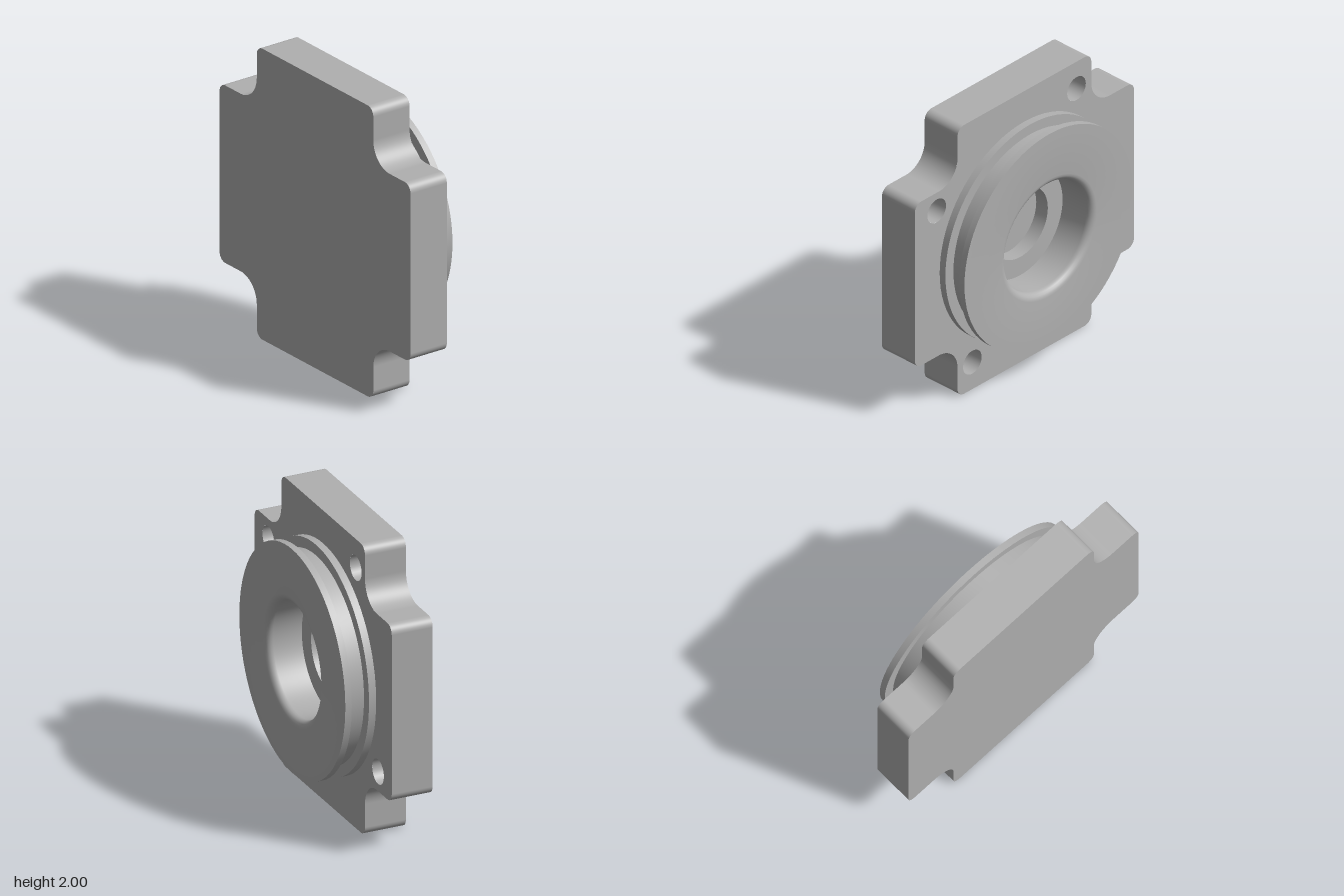
import * as THREE from 'three';
import { toCreasedNormals } from 'three/addons/utils/BufferGeometryUtils.js';

const FRONT = 0.25, BACK = -0.035;   // plate faces along z
const ARM = 0.61, CORNER = 0.06, INNER = 0.17;
const FLANGE_R = 0.773, HOLE_R = 0.085;
// bolt holes as seen from behind: one spot turned in quarter steps
const HOLES = [[-0.8, 0.475], [0.475, 0.8], [0.8, -0.475], [-0.475, -0.8]];

// Cross-shaped outline with rounded outer and inner corners, counter-clockwise
function crossShape() {
  const s = new THREE.Shape(), H = Math.PI / 2;
  for (let i = 0; i < 4; i++) {
    const a = i * H, c = Math.round(Math.cos(a)), n = Math.round(Math.sin(a));
    const arc = (x, y, r, from, to, cw) =>
      s.absarc(x * c - y * n, x * n + y * c, r, a + from, a + to, cw);
    arc(1 - CORNER, -ARM + CORNER, CORNER, -H, 0, false);
    arc(1 - CORNER, ARM - CORNER, CORNER, 0, H, false);
    arc(ARM + INNER, ARM + INNER, INNER, 3 * H, 2 * H, true);
  }
  return s;
}

// Wall along a closed outline
function wallGeometry(points) {
  const pos = [], idx = [], n = points.length;
  points.forEach((p, i) => {
    pos.push(p.x, p.y, BACK, p.x, p.y, FRONT);
    const a = 2 * i, b = 2 * ((i + 1) % n);
    idx.push(a, b, b + 1, a, b + 1, a + 1);
  });
  const g = new THREE.BufferGeometry();
  g.setAttribute('position', new THREE.Float32BufferAttribute(pos, 3));
  g.setIndex(idx);
  g.computeVertexNormals();
  return g;
}

// Turned part whose profile is [radius, height towards the back]
function turned(profile, segments) {
  const g = new THREE.LatheGeometry(profile.map(([r, h]) => new THREE.Vector2(r, h)), segments);
  g.rotateX(-Math.PI / 2);
  return toCreasedNormals(g, 0.6);
}

export function createModel() {
  const model = new THREE.Group();
  model.name = 'flangedCover';
  const metal = new THREE.MeshStandardMaterial({ color: 0xb0b0b0 });
  metal.name = 'plain grey metal';
  const add = (name, geometry, x = 0, y = 0, z = 0) => {
    const m = new THREE.Mesh(geometry, metal);
    m.name = name;
    m.position.set(x, y + 1, z);
    model.add(m);
    return m;
  };

  // Plate: front face, rim and pierced back face
  const outline = crossShape();
  const points = outline.getPoints(12);
  if (points[0].distanceTo(points[points.length - 1]) < 1e-5) points.pop();
  add('plateFront', new THREE.ShapeGeometry(outline, 12), 0, 0, FRONT);
  add('plateRim', wallGeometry(points));

  const pierced = crossShape();
  const cut = (x, y, r) => pierced.holes.push(new THREE.Path().absarc(x, y, r, 0, Math.PI * 2, true));
  cut(0, 0, FLANGE_R);
  HOLES.forEach(([x, y]) => cut(x, y, HOLE_R));
  add('plateBack', new THREE.ShapeGeometry(pierced, 40), 0, 0, BACK).rotation.y = Math.PI;

  // Blind bolt holes
  const pocket = turned([[HOLE_R, -BACK], [HOLE_R, -0.19], [0, -0.19]], 32);
  HOLES.forEach(([x, y], i) => add('boltHole' + (i + 1), pocket, -x, y));

  // Grooved round boss with a rounded lip and a stepped bore
  const lip = [];
  for (let i = 0; i <= 5; i++) {
    const t = i / 5 * Math.PI / 2;
    lip.push([0.435 - 0.05 * Math.sin(t), 0.2 + 0.05 * Math.cos(t)]);
  }
  add('groovedBoss', turned([
    [FLANGE_R, -BACK], [FLANGE_R, 0.085], [0.7, 0.085], [0.7, 0.205],
    [FLANGE_R, 0.205], [FLANGE_R, 0.25], ...lip,
    [0.385, 0], [0.25, 0], [0.25, -0.1], [0, -0.1],
  ], 80));

  return model;
}
